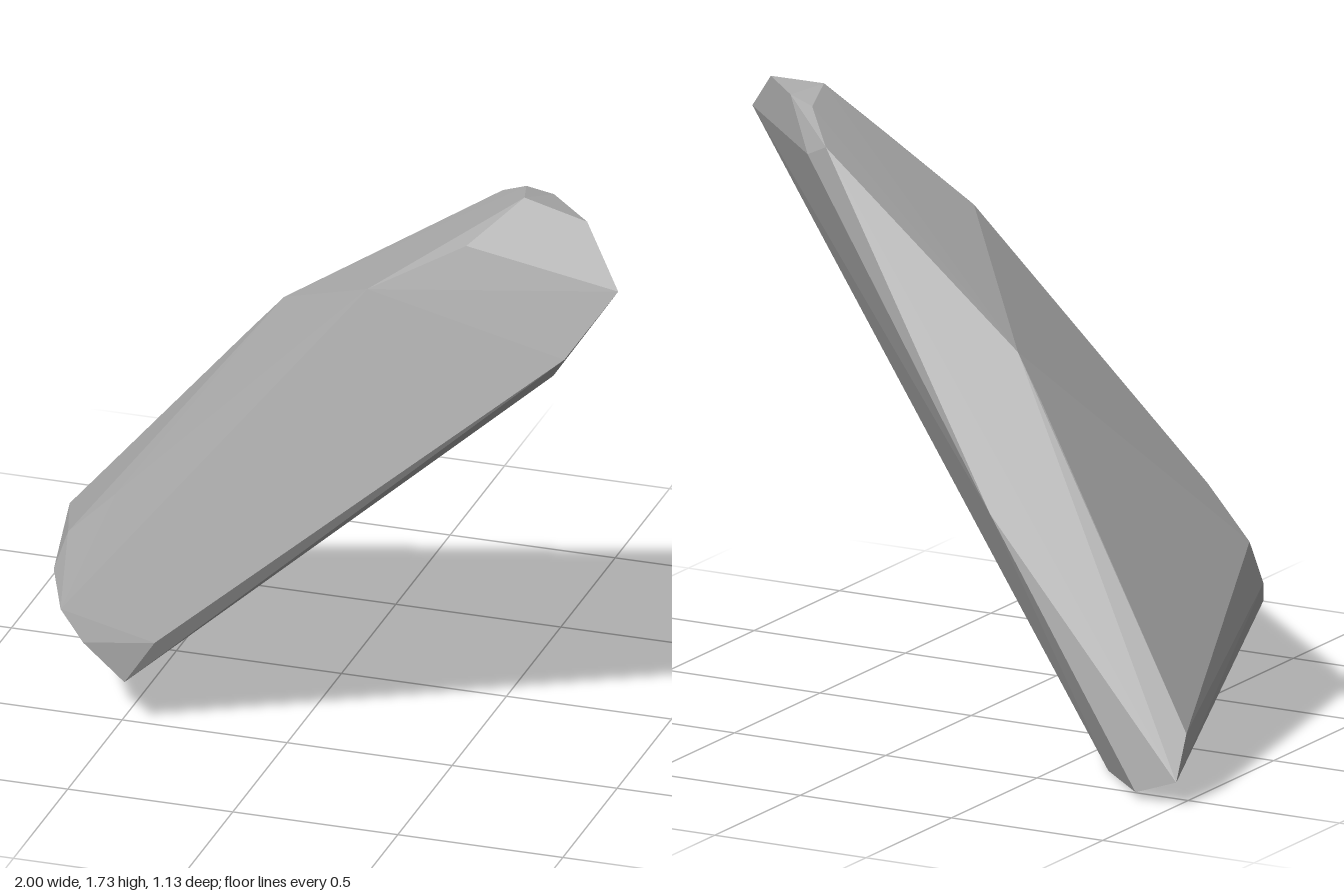
import * as THREE from 'three';
import { ConvexGeometry } from 'three/addons/geometries/ConvexGeometry.js';

// Corners of the faceted shard, grouped by region
const corners = {
  tip: [[1, 1.57, 0.49], [0.86, 1.71, 0.35], [0.65, 1.73, 0.29], [0.71, 1.71, 0.2],
    [0.61, 1.7, 0.15], [0.58, 1.58, 0.07], [0.5, 1.62, 0.035]],
  frontLower: [[0.85, 1.35, 0.53], [0.8, 1.27, 0.48], [-0.38, 0.29, 0.565], [-0.48, 0.14, 0.54]],
  frontUpper: [[-0.7, 0.52, 0.39], [-0.55, 0.67, 0.41], [0.2, 1.41, 0.37], [0.5, 1.59, 0.37]],
  frontEnd: [[-0.74, 0.4, 0.4], [-0.69, 0.32, 0.49], [-0.61, 0.24, 0.525]],
  base: [[-0.63, 0, -0.24], [-0.64, 0, -0.33], [-0.86, 0.02, -0.56], [-1, 0.07, -0.57], [-0.98, 0.19, -0.475]],
  backRidge: [[-0.2, 1.13, -0.08], [-0.31, 1, -0.13], [-0.26, 0.72, -0.35]],
};

export function createModel() {
  const stone = new THREE.MeshStandardMaterial({ color: 0xaaaaaa });
  stone.name = 'grey stone';
  const points = Object.values(corners).flat().map((p) => new THREE.Vector3(...p));

  // One convex rock with hard facets
  const shard = new THREE.Mesh(new ConvexGeometry(points), stone);
  shard.name = 'rockShard';

  const model = new THREE.Group();
  model.name = 'rock';
  model.add(shard);
  return model;
}
